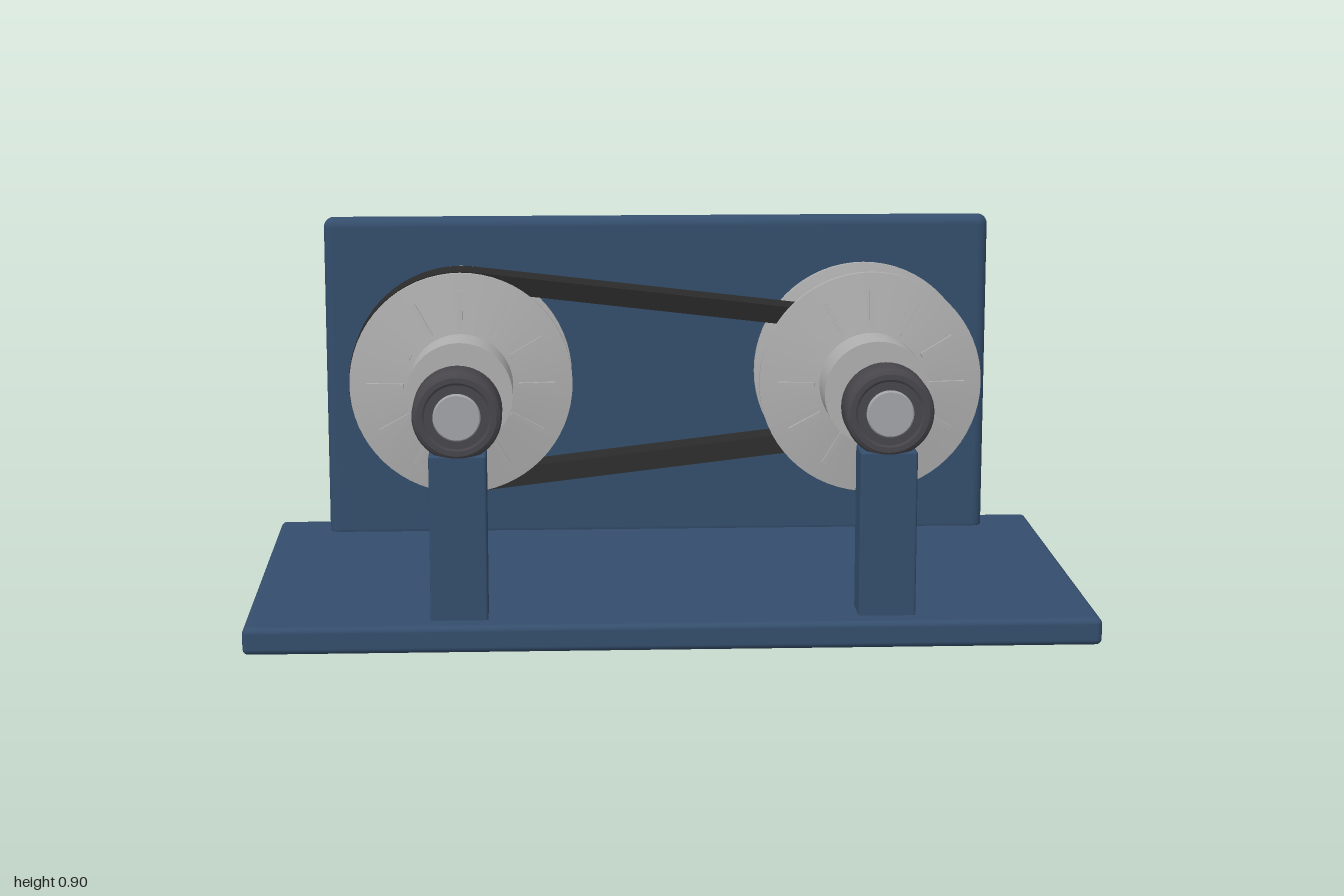
import * as THREE from 'three';
import { toCreasedNormals } from 'three/addons/utils/BufferGeometryUtils.js';
import { RoundedBoxGeometry } from 'three/addons/geometries/RoundedBoxGeometry.js';

const AXIS_Y = 0.546, AXIS_X = 0.5;

function material(name, color) {
  const m = new THREE.MeshStandardMaterial({ color });
  m.name = name;
  return m;
}

const paint = material('blue paint', 0x344e6c);
const steel = material('steel', 0xb0b0b0);
const shaftSteel = material('shaft steel', 0xa2a4a8);
const rubber = material('belt rubber', 0x2b2b2b);
const housing = material('dark bearing', 0x48464b);

function add(parent, name, geometry, mat, x = 0, y = 0, z = 0) {
  const mesh = new THREE.Mesh(geometry, mat);
  mesh.name = name;
  mesh.position.set(x, y, z);
  parent.add(mesh);
  return mesh;
}

// Turned part: profile of [radius, z] pairs, revolved around z
function turned(profile, segments = 64) {
  const g = new THREE.LatheGeometry(profile.map(([r, z]) => new THREE.Vector2(r, z)), segments);
  return toCreasedNormals(g.rotateX(Math.PI / 2), 0.5);
}

// Conical half of a pulley with hub and radial ribs, facing +z
function createSheave() {
  const sheave = new THREE.Group();
  sheave.name = 'sheave';
  add(sheave, 'sheaveCone', turned([[0.05, 0.01], [0.272, 0.053], [0.272, 0.068], [0.125, 0.09]]), steel);
  add(sheave, 'hub', turned([[0.127, 0.088], [0.127, 0.22], [0.05, 0.22]]), steel);
  for (let i = 0; i < 12; i++) {
    const spoke = new THREE.Group();
    spoke.name = 'ribArm';
    spoke.rotation.z = i * Math.PI / 6;
    const rib = add(spoke, 'rib', new THREE.BoxGeometry(0.09, 0.011, 0.018), steel, 0.184, 0, 0.081);
    rib.rotation.y = 0.12;
    sheave.add(spoke);
  }
  return sheave;
}

// Shaft, two bearings and a pair of facing sheaves; spread opens the pulley
function createPulley(name, x, spread) {
  const pulley = new THREE.Group();
  pulley.name = name;
  pulley.position.set(x, AXIS_Y, 0);
  add(pulley, 'shaft', turned([[0, -0.502], [0.052, -0.502], [0.055, -0.499], [0.055, 0.499],
    [0.052, 0.502], [0, 0.502]], 40), shaftSteel);
  const bearing = turned([[0.05, -0.052], [0.075, -0.052], [0.08, -0.055], [0.092, -0.055], [0.1, -0.05],
    [0.104, -0.042], [0.104, 0.042], [0.1, 0.05], [0.092, 0.055], [0.08, 0.055],
    [0.075, 0.052], [0.05, 0.052]], 48);
  for (const side of [1, -1]) {
    add(pulley, side > 0 ? 'frontBearing' : 'backBearing', bearing, housing, 0, 0, side * 0.438);
    const sheave = createSheave();
    sheave.position.z = side * spread;
    if (side < 0) sheave.rotation.y = Math.PI;
    pulley.add(sheave);
  }
  return pulley;
}

// Closed V-belt: trapezoid section swept round the two pulleys
function createBeltGeometry(bigR, smallR) {
  const alpha = Math.acos((bigR - smallR) / (2 * AXIS_X)), steps = 48;
  const section = [[0, 0.053], [0, -0.053], [-0.045, -0.044], [-0.045, 0.044]];
  const positions = [], index = [];
  const arc = (cx, radius, from, to) => {
    for (let i = 0; i <= steps; i++) {
      const a = from + (to - from) * i / steps;
      for (const [dr, z] of section) {
        positions.push(cx + (radius + dr) * Math.cos(a), AXIS_Y + (radius + dr) * Math.sin(a), z);
      }
    }
  };
  arc(AXIS_X, smallR, -alpha, alpha);
  arc(-AXIS_X, bigR, alpha, 2 * Math.PI - alpha);
  const rings = positions.length / 12;
  for (let i = 0; i < rings; i++) {
    const j = (i + 1) % rings;
    for (let k = 0; k < 4; k++) {
      const l = (k + 1) % 4;
      const a = i * 4 + k, b = i * 4 + l, c = j * 4 + l, d = j * 4 + k;
      index.push(a, b, d, b, c, d);
    }
  }
  const g = new THREE.BufferGeometry();
  g.setAttribute('position', new THREE.Float32BufferAttribute(positions, 3));
  g.setIndex(index);
  return toCreasedNormals(g, 0.5);
}

export function createModel() {
  const model = new THREE.Group();
  model.name = 'variableBeltDrive';

  // Painted frame
  add(model, 'basePlate', new RoundedBoxGeometry(2, 0.064, 1.09, 3, 0.014), paint, 0, 0.032, 0);
  add(model, 'backPlate', new RoundedBoxGeometry(1.725, 0.85, 0.053, 4, 0.026), paint, 0, 0.47, -0.437);
  for (const side of [1, -1]) {
    add(model, 'bearingPost', new RoundedBoxGeometry(0.134, 0.415, 0.1, 2, 0.006), paint,
      side * AXIS_X, 0.2475, 0.44);
  }

  // Closed pulley at -x, opened pulley at +x
  model.add(createPulley('closedPulley', -AXIS_X, 0));
  model.add(createPulley('openPulley', AXIS_X, 0.025));
  add(model, 'belt', createBeltGeometry(0.274, 0.157), rubber);
  return model;
}
